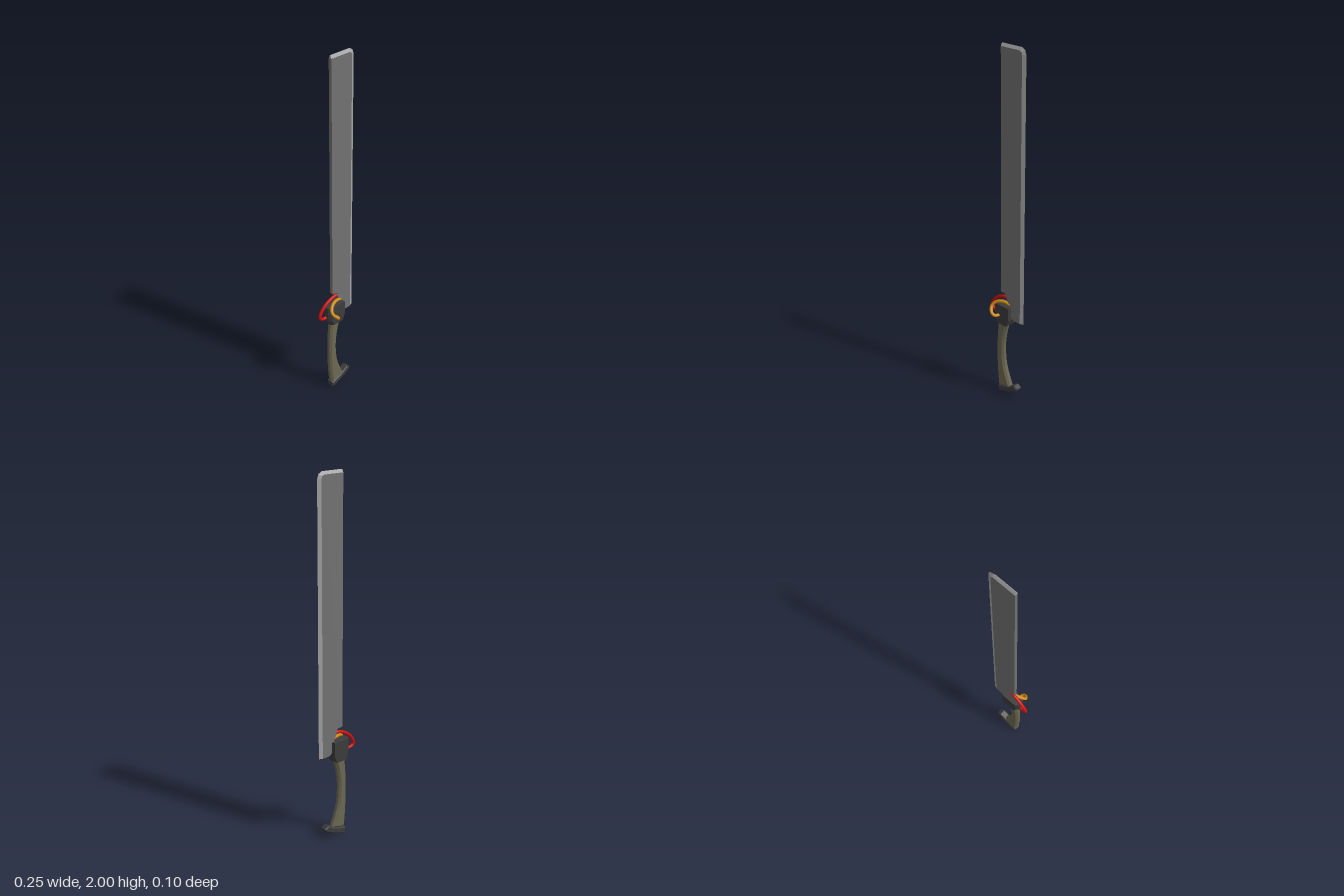
import * as THREE from 'three';
import { toCreasedNormals } from 'three/addons/utils/BufferGeometryUtils.js';

const MID = -0.022; // z of the blade's middle plane
const mat = (color, extra = {}) => new THREE.MeshStandardMaterial({ color, ...extra });
const pts = (list) => list.map(([x, y]) => new THREE.Vector2(x, y));

function add(group, name, geometry, material) {
  const mesh = new THREE.Mesh(geometry, material);
  mesh.name = name;
  group.add(mesh);
}

// Flat outline given thickness, centred on plane z, with chamfers cut inside the outline
function slab(shape, thickness, z, bevel = 0) {
  const g = new THREE.ExtrudeGeometry(shape, {
    depth: thickness - 2 * bevel, curveSegments: 20, bevelEnabled: bevel > 0,
    bevelThickness: bevel, bevelSize: bevel, bevelOffset: -bevel, bevelSegments: 1,
  });
  g.translate(0, 0, z - thickness / 2 + bevel);
  return toCreasedNormals(g, 0.45);
}

// Ground edge: slopes from both blade faces to a sharp line, closed at its ends
function groundEdge(inner, outer, half) {
  const v = [];
  const I = (i, s) => [...inner[i], MID + s * half];
  const O = (i) => [...outer[i], MID];
  const last = inner.length - 1;
  for (let i = 0; i < last; i++) {
    v.push(...I(i, 1), ...O(i), ...O(i + 1), ...I(i, 1), ...O(i + 1), ...I(i + 1, 1));
    v.push(...I(i, -1), ...O(i + 1), ...O(i), ...I(i, -1), ...I(i + 1, -1), ...O(i + 1));
  }
  v.push(...I(0, 1), ...I(0, -1), ...O(0), ...I(last, 1), ...O(last), ...I(last, -1));
  const g = new THREE.BufferGeometry();
  g.setAttribute('position', new THREE.Float32BufferAttribute(v, 3));
  g.computeVertexNormals();
  return g;
}

function wire(points, radius) {
  const curve = new THREE.CatmullRomCurve3(points.map((p) => new THREE.Vector3(...p)));
  return new THREE.TubeGeometry(curve, 48, radius, 12, false);
}

export function createModel() {
  const model = new THREE.Group();
  model.name = 'machete';
  const dark = mat(0x3c3c3c);

  // Blade with a notch above the guard
  const inner = [[0.104, 0.5], [0.104, 1.965], [0.1, 1.978], [0.088, 1.984], [-0.035, 1.984]];
  const outer = [[0.124, 0.5], [0.124, 1.965], [0.116, 1.988], [0.096, 2], [-0.035, 2]];
  const notch = [[-0.035, 0.65], [-0.03, 0.645], [-0.008, 0.645], [0.002, 0.638], [0.008, 0.61],
    [0.022, 0.588], [0.026, 0.53], [0.045, 0.508], [0.06, 0.5]];
  add(model, 'blade', slab(new THREE.Shape(pts([...inner, ...notch])), 0.018, MID), mat(0x727272));
  add(model, 'bladeEdge', groundEdge(inner, outer, 0.009), mat(0xa6a6a6, { side: THREE.DoubleSide }));

  // Guard: block with chamfered rear corners, narrowing towards the grip
  const plan = new THREE.Shape(pts([[-0.058, -0.032], [0.038, -0.032], [0.038, 0.032],
    [-0.058, 0.032], [-0.076, 0.014], [-0.076, -0.014]]));
  const guard = new THREE.ExtrudeGeometry(plan, { depth: 0.117, steps: 3, bevelEnabled: false });
  guard.rotateX(-Math.PI / 2);
  const p = guard.attributes.position;
  for (let i = 0; i < p.count; i++) {
    if (p.getY(i) < 0.01) p.setX(i, -0.014 + (p.getX(i) + 0.014) * 0.72);
  }
  guard.translate(0, 0.458, MID);
  add(model, 'guard', toCreasedNormals(guard, 0.3), dark);

  // Grip, curved with chamfered edges
  const grip = new THREE.Shape();
  grip.moveTo(-0.05, 0.47);
  grip.splineThru(pts([[-0.06, 0.36], [-0.063, 0.23], [-0.056, 0.1], [-0.048, 0.035]]));
  grip.lineTo(0.04, 0.062);
  grip.splineThru(pts([[0.015, 0.125], [-0.006, 0.2], [-0.012, 0.31], [0, 0.4], [0.02, 0.47]]));
  add(model, 'grip', slab(grip, 0.038, -0.02, 0.011), mat(0x6c6853));

  // Slanted pommel
  const pommel = new THREE.Shape(pts([[-0.051, 0.038], [-0.05, 0.012], [-0.04, 0.001],
    [0.035, 0.027], [0.09, 0.056], [0.095, 0.072], [0.073, 0.086], [0.025, 0.06]]));
  add(model, 'pommel', slab(pommel, 0.043, -0.0215, 0.006), dark);

  // Two looped wires
  add(model, 'redWire', wire([[0.012, 0.622, -0.022], [-0.025, 0.617, -0.023], [-0.07, 0.595, -0.026],
    [-0.108, 0.555, -0.028], [-0.117, 0.525, -0.028], [-0.1, 0.509, -0.027], [-0.065, 0.506, -0.025]], 0.009),
  mat(0xd01010));
  add(model, 'orangeWire', wire([[0.03, 0.586, -0.018], [-0.015, 0.592, -0.012], [-0.055, 0.582, 0.003],
    [-0.072, 0.558, 0.022], [-0.055, 0.53, 0.041], [-0.038, 0.516, 0.036], [-0.031, 0.51, 0.004]], 0.009),
  mat(0xd08a10));

  return model;
}
